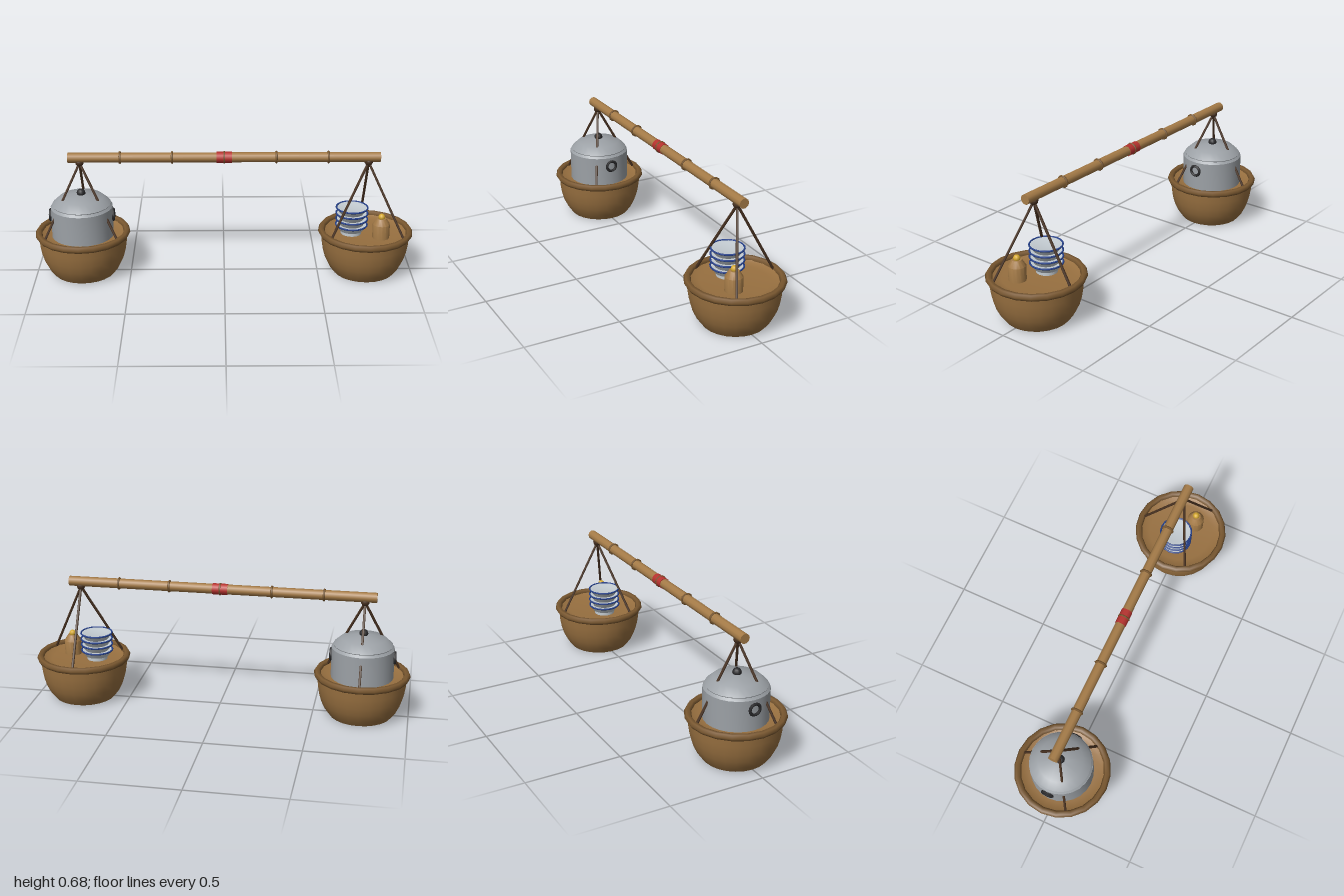
import * as THREE from 'three';
import { toCreasedNormals } from 'three/addons/utils/BufferGeometryUtils.js';

const material = (name, color, side = THREE.FrontSide) => {
  const m = new THREE.MeshStandardMaterial({ color, side });
  m.name = name;
  return m;
};

export function createModel() {
  const bamboo = material('bamboo', 0xa67c48);
  const wicker = material('wicker', 0x987040, THREE.DoubleSide);
  const rimBrown = material('rimBrown', 0x7a5830);
  const rope = material('rope', 0x4a3322);
  const steel = material('steel', 0x9ca1a6);
  const black = material('black', 0x2a2a2c);
  const china = material('china', 0xc4ccd2, THREE.DoubleSide);
  const blue = material('blue', 0x26428f);
  const red = material('red', 0xb8332f);
  const yellow = material('yellow', 0xd6aa30);

  const model = new THREE.Group();
  model.name = 'carryingPole';

  const add = (parent, name, geometry, mat, x = 0, y = 0, z = 0) => {
    const mesh = new THREE.Mesh(geometry, mat);
    mesh.name = name;
    mesh.position.set(x, y, z);
    parent.add(mesh);
    return mesh;
  };
  const group = (parent, name, x = 0, y = 0, z = 0) => {
    const g = new THREE.Group();
    g.name = name;
    g.position.set(x, y, z);
    parent.add(g);
    return g;
  };
  const lathe = (points, segments) => toCreasedNormals(
    new THREE.LatheGeometry(points.map(([r, y]) => new THREE.Vector2(r, y)), segments), 0.6);
  const rod = (parent, name, a, b, radius, mat) => {
    const dir = b.clone().sub(a);
    const mesh = add(parent, name, new THREE.CylinderGeometry(radius, radius, dir.length(), 6), mat);
    mesh.position.copy(a).addScaledVector(dir, 0.5);
    mesh.quaternion.setFromUnitVectors(new THREE.Vector3(0, 1, 0), dir.normalize());
    return mesh;
  };

  // Pole along x, with raised joints
  const poleY = 0.646;
  const alongX = (length, radius) => new THREE.CylinderGeometry(radius, radius, length, 10).rotateZ(Math.PI / 2);
  const ringX = (radius, tube, segments = 10) =>
    new THREE.TorusGeometry(radius, tube, 6, segments).rotateY(Math.PI / 2);
  add(model, 'pole', alongX(1.62, 0.026), bamboo, 0, poleY);
  for (const x of [-0.54, -0.27, 0.27, 0.54]) {
    add(model, 'poleJoint', ringX(0.027, 0.0065), rimBrown, x, poleY);
  }

  // Red cloth grip with a cord round the middle
  add(model, 'gripWrap', alongX(0.08, 0.029), red, 0, poleY);
  add(model, 'gripCord', ringX(0.028, 0.005), rimBrown, 0, poleY);

  // Two hanging baskets, each on three ropes
  const floorY = 0.217;
  const makeBasket = (x) => {
    const basket = group(model, 'basket', x);
    add(basket, 'basketBowl', lathe([
      [0, 0], [0.163, 0], [0.19, 0.036], [0.21, 0.078], [0.222, 0.12], [0.23, 0.17], [0.232, 0.225],
    ], 24), wicker);
    add(basket, 'basketFloor', lathe([
      [0.225, 0.232], [0.205, 0.219], [0.17, 0.214], [0, 0.213],
    ].reverse(), 24), wicker);
    add(basket, 'basketRim', new THREE.TorusGeometry(0.233, 0.018, 6, 20).rotateX(Math.PI / 2), rimBrown, 0, 0.226);
    const top = new THREE.Vector3(0, 0.617, 0);
    for (let i = 0; i < 3; i++) {
      const a = Math.PI / 6 + (i * Math.PI * 2) / 3;
      const foot = new THREE.Vector3(Math.cos(a) * 0.217, 0.228, Math.sin(a) * 0.217);
      rod(basket, 'hangingRope', top, foot, 0.007, rope);
    }
    add(basket, 'ropeKnot', new THREE.SphereGeometry(0.023, 10, 8), rope, 0, 0.622);
    return basket;
  };
  const potBasket = makeBasket(-0.75);
  const dishBasket = makeBasket(0.75);

  // Cooking pot with lid, knob and side handles
  const pot = group(potBasket, 'cookingPot');
  add(pot, 'potBody', lathe([[0, floorY - 0.006], [0.163, floorY - 0.006], [0.163, 0.375], [0, 0.375]], 24), steel);
  add(pot, 'potLid', lathe([
    [0.163, 0.374], [0.152, 0.387], [0.154, 0.391], [0.115, 0.427], [0.03, 0.443], [0, 0.444],
  ], 24), steel);
  add(pot, 'lidKnob', new THREE.SphereGeometry(0.023, 12, 8), black, 0, 0.45);
  for (const side of [-1, 1]) {
    add(pot, 'potHandle', ringX(0.028, 0.008, 14), black, side * 0.165, 0.326, 0);
  }

  // Stack of blue-rimmed bowls
  const stack = group(dishBasket, 'bowlStack', -0.075, 0.234, 0);
  add(stack, 'stackFoot', new THREE.CylinderGeometry(0.055, 0.055, 0.022, 20), china, 0, -0.008);
  for (let i = 0; i < 4; i++) {
    const y = i * 0.0323;
    add(stack, 'bowl', lathe([
      [0, y], [0.062, y], [0.084, y + 0.031], [0.08, y + 0.031], [0.06, y + 0.026], [0, y + 0.025],
    ], 20), china);
    add(stack, 'bowlRim', new THREE.TorusGeometry(0.083, 0.0045, 6, 20).rotateX(Math.PI / 2), blue, 0, y + 0.031);
  }

  // Bottle with a round yellow stopper
  const bottle = group(dishBasket, 'bottle', 0.076, 0, 0.055);
  add(bottle, 'bottleBody', lathe([
    [0, floorY - 0.004], [0.045, floorY - 0.004], [0.045, 0.29], [0.025, 0.322], [0, 0.322],
  ], 14), bamboo);
  add(bottle, 'bottleStopper', new THREE.SphereGeometry(0.018, 10, 8), yellow, 0, 0.329);

  return model;
}
